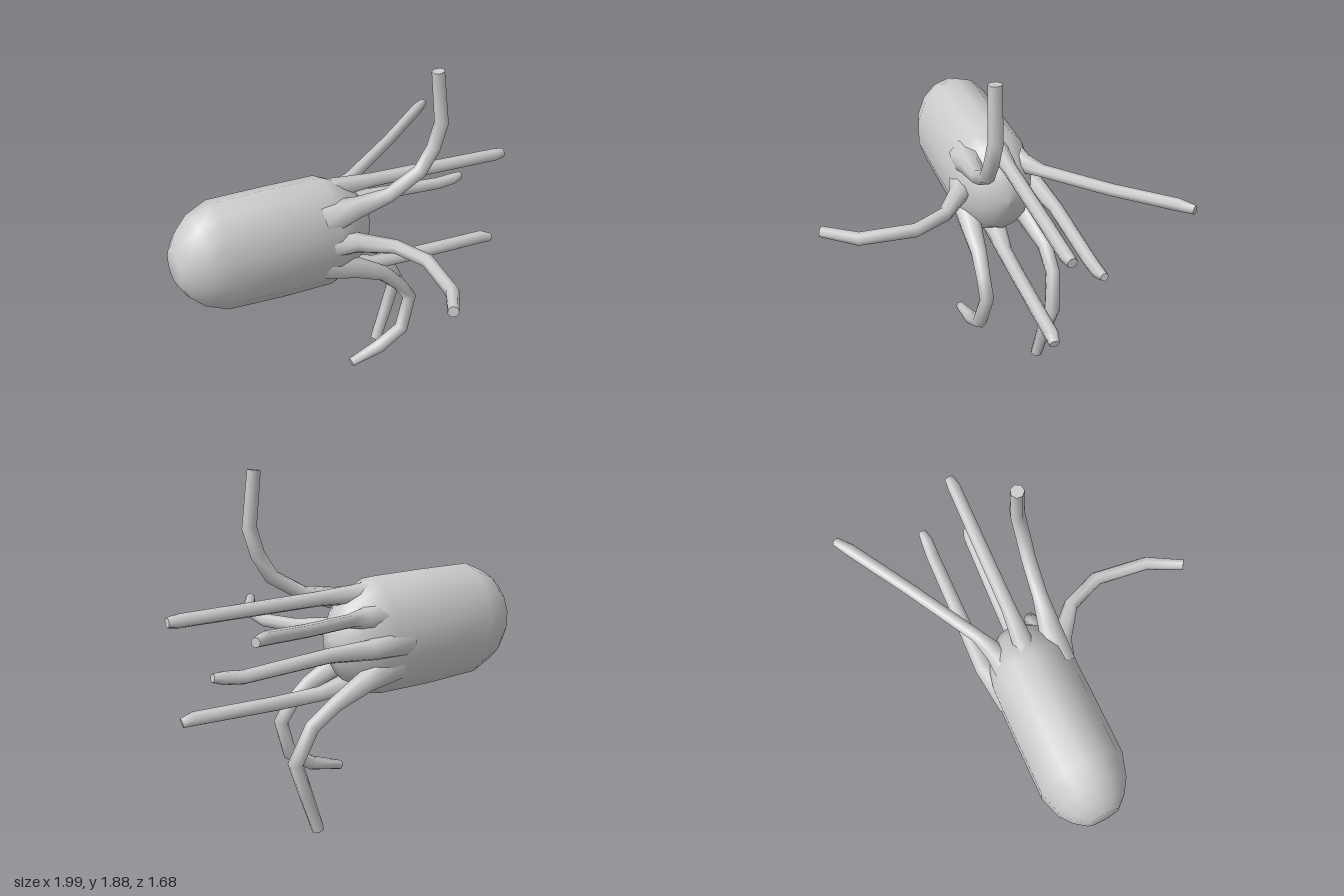
import * as THREE from 'three';

const material = new THREE.MeshStandardMaterial({ color: 0xcccccc });

// Skin a series of closed rings (each an array of Vector3) with smooth normals
function loft(rings) {
  const n = rings[0].length;
  const pos = [], idx = [];
  rings.forEach(r => r.forEach(p => pos.push(p.x, p.y, p.z)));
  for (let i = 0; i < rings.length - 1; i++) {
    for (let j = 0; j < n; j++) {
      const a = i * n + j, b = i * n + (j + 1) % n;
      idx.push(a, b, a + n, b, b + n, a + n);
    }
  }
  const g = new THREE.BufferGeometry();
  g.setAttribute('position', new THREE.Float32BufferAttribute(pos, 3));
  g.setIndex(idx);
  g.computeVertexNormals();
  return g;
}

function ring(center, u, v, ru, rv, sides) {
  return Array.from({ length: sides }, (_, j) => {
    const a = (j / sides) * Math.PI * 2;
    return center.clone().addScaledVector(u, Math.cos(a) * ru).addScaledVector(v, Math.sin(a) * rv);
  });
}

// Sweep a round section along a path of [x, y, z, radius]; the tip is a flat cap
function limb(path, sides = 7) {
  const pts = path.map(p => new THREE.Vector3(p[0], p[1], p[2]));
  const last = pts.length - 1;
  const normal = new THREE.Vector3(0.1, 0.9, 0.4);
  const rings = [];
  pts.forEach((p, i) => {
    const t = new THREE.Vector3();
    if (i > 0) t.add(p.clone().sub(pts[i - 1]).normalize());
    if (i < last) t.add(pts[i + 1].clone().sub(p).normalize());
    t.normalize();
    normal.addScaledVector(t, -normal.dot(t)).normalize();
    const b = t.clone().cross(normal);
    const r = path[i][3];
    rings.push(ring(p, normal, b, r, r, sides));
    if (i === last) {
      rings.push(ring(p, normal, b, r, r, sides));
      rings.push(ring(p, normal, b, 0, 0, sides));
    }
  });
  return loft(rings);
}

// Body sections along x: [x, centre y, centre z, half height, half depth]
const bodySections = [
  [-1.0, 1.0, -0.235, 0, 0],
  [-1.0, 1.0, -0.235, 0.1, 0.09],
  [-0.95, 1.0, -0.235, 0.19, 0.15],
  [-0.88, 1.0, -0.235, 0.26, 0.2],
  [-0.76, 1.0, -0.23, 0.315, 0.238],
  [-0.45, 0.99, -0.215, 0.325, 0.238],
  [-0.15, 0.985, -0.2, 0.325, 0.235],
  [-0.06, 0.985, -0.2, 0.28, 0.21],
  [0.04, 0.985, -0.2, 0.21, 0.16],
  [0.1, 0.985, -0.2, 0.12, 0.09],
  [0.12, 0.985, -0.2, 0, 0],
];

// Tentacle paths, each flaring where it leaves the body
const tentacles = {
  raisedTentacle: [
    [-0.2, 1.13, -0.08, 0.1], [-0.02, 1.175, -0.03, 0.06], [0.15, 1.215, 0.0, 0.042],
    [0.33, 1.325, 0.025, 0.04], [0.405, 1.45, 0.035, 0.04], [0.45, 1.59, 0.035, 0.04], [0.42, 1.88, 0.03, 0.036],
  ],
  upperBackTentacle: [
    [-0.2, 1.12, -0.3, 0.1], [0.0, 1.13, -0.34, 0.055], [0.12, 1.145, -0.385, 0.036],
    [0.5, 1.2, -0.59, 0.034], [0.82, 1.26, -0.775, 0.034], [0.9, 1.265, -0.825, 0.024],
  ],
  topTentacle: [
    [-0.25, 1.2, -0.22, 0.1], [-0.05, 1.225, -0.2, 0.055], [0.15, 1.225, -0.18, 0.04],
    [0.55, 1.215, -0.15, 0.038], [0.93, 1.205, -0.12, 0.036], [0.99, 1.205, -0.12, 0.027],
  ],
  backTentacle: [
    [-0.25, 0.98, -0.36, 0.09], [0.0, 0.98, -0.41, 0.055], [0.25, 0.99, -0.405, 0.04],
    [0.72, 0.955, -0.375, 0.036], [0.82, 0.965, -0.365, 0.034], [0.88, 0.975, -0.365, 0.022],
  ],
  bottomTentacle: [
    [-0.25, 0.77, -0.22, 0.1], [-0.02, 0.735, -0.18, 0.06], [0.15, 0.7, -0.16, 0.042],
    [0.4, 0.69, -0.14, 0.04], [0.86, 0.685, -0.1, 0.038], [0.92, 0.67, -0.09, 0.026],
  ],
  lowerBackTentacle: [
    [-0.2, 0.85, -0.32, 0.1], [0.0, 0.795, -0.36, 0.06], [0.2, 0.715, -0.38, 0.042],
    [0.33, 0.62, -0.37, 0.04], [0.41, 0.42, -0.335, 0.042], [0.34, 0.22, -0.325, 0.038], [0.27, 0.015, -0.325, 0.034],
  ],
  lowerFrontTentacle: [
    [-0.2, 0.86, -0.08, 0.1], [-0.02, 0.79, -0.03, 0.06], [0.13, 0.715, -0.015, 0.045],
    [0.23, 0.62, 0.0, 0.04], [0.295, 0.52, 0.005, 0.04], [0.235, 0.325, 0.02, 0.04],
    [0.09, 0.235, 0.01, 0.04], [-0.09, 0.185, 0.005, 0.026],
  ],
  frontTentacle: [
    [-0.2, 0.99, -0.07, 0.1], [-0.05, 0.995, 0.03, 0.055], [0.1, 0.995, 0.165, 0.04],
    [0.175, 0.99, 0.36, 0.038], [0.13, 0.985, 0.65, 0.037], [0.02, 1.005, 0.82, 0.03],
  ],
};

export function createModel() {
  const model = new THREE.Group();
  model.name = 'tentacledCreature';
  const add = (name, geometry) => {
    const mesh = new THREE.Mesh(geometry, material);
    mesh.name = name;
    model.add(mesh);
  };

  // Capsule body, taller than deep
  const up = new THREE.Vector3(0, 1, 0), out = new THREE.Vector3(0, 0, 1);
  add('body', loft(bodySections.map(([x, y, z, ry, rz]) =>
    ring(new THREE.Vector3(x, y, z), up, out, ry, rz, 14))));

  // Eight tentacles around the open end
  for (const [name, path] of Object.entries(tentacles)) add(name, limb(path));
  return model;
}
